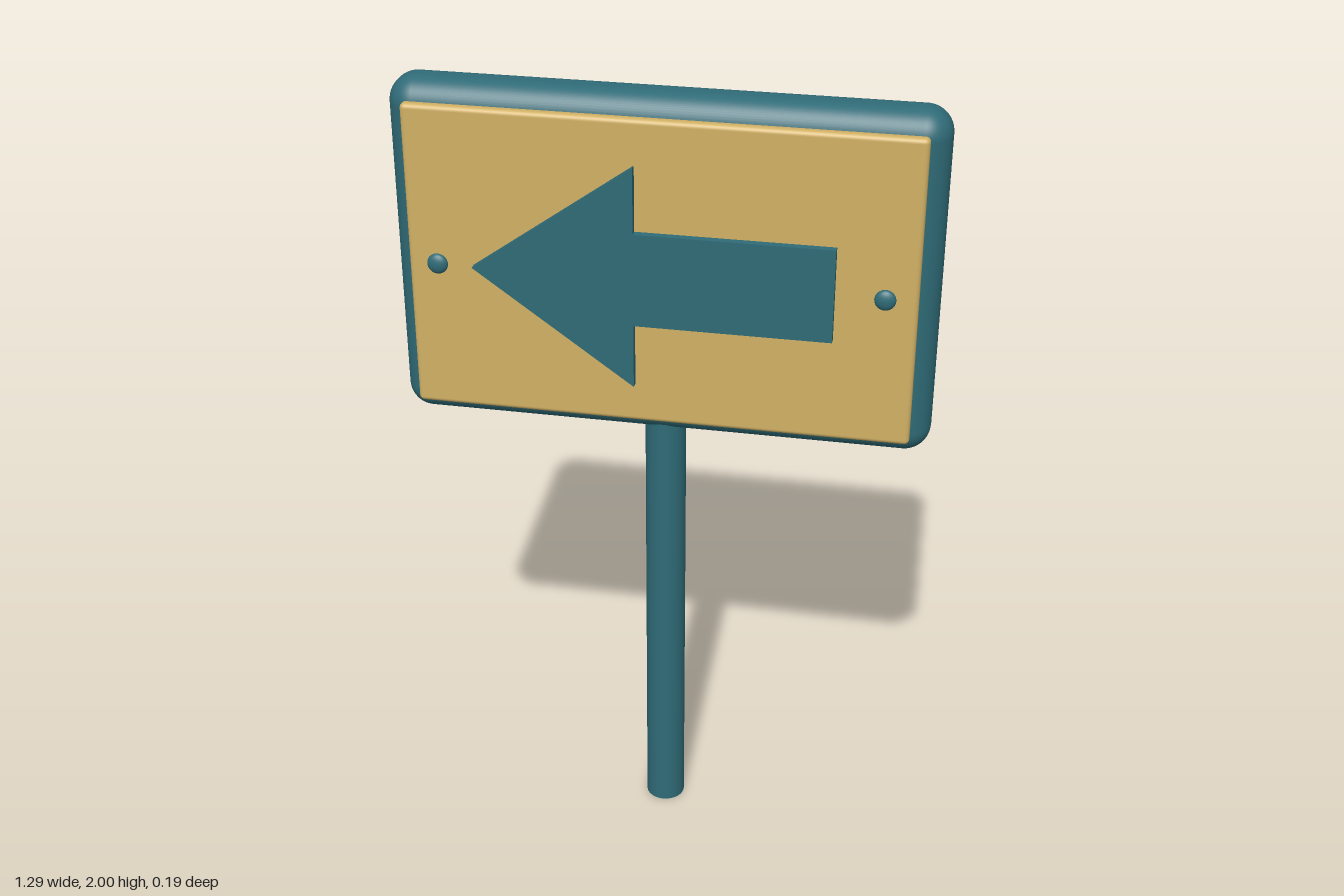
import * as THREE from 'three';
import { RoundedBoxGeometry } from 'three/addons/geometries/RoundedBoxGeometry.js';

export function createModel() {
  const group = new THREE.Group();
  const teal = new THREE.MeshStandardMaterial({ name: 'teal', color: 0x2f6b77 });
  const gold = new THREE.MeshStandardMaterial({ name: 'gold', color: 0xd0b065 });

  const add = (name, geometry, material, x, y, z) => {
    const mesh = new THREE.Mesh(geometry, material);
    mesh.name = name;
    mesh.position.set(x, y, z);
    group.add(mesh);
    return mesh;
  };

  // Post, its top hidden inside the board
  add('post', new THREE.CylinderGeometry(0.05, 0.05, 1.2, 32), teal, 0, 0.6, -0.025);

  // Thick rounded board with a thin face panel
  add('board', new RoundedBoxGeometry(1.29, 0.85, 0.14, 8, 0.063), teal, 0, 1.575, -0.026);
  add('facePanel', new RoundedBoxGeometry(1.2, 0.76, 0.03, 4, 0.012), gold, 0, 1.575, 0.051);

  // Arrow pointing to -x, held just in front of the panel
  const arrow = new THREE.Shape([
    [-0.44, 0], [-0.055, -0.275], [-0.055, -0.115], [0.41, -0.115],
    [0.41, 0.115], [-0.055, 0.115], [-0.055, 0.275],
  ].map(([x, y]) => new THREE.Vector2(x, y)));
  add('arrow', new THREE.ExtrudeGeometry(arrow, { depth: 0.019, bevelEnabled: false }),
    teal, 0, 1.575, 0.072);

  // Flattened screw heads on both sides
  for (const side of [-1, 1]) {
    const screw = add(side > 0 ? 'leftScrew' : 'rightScrew',
      new THREE.SphereGeometry(0.025, 24, 16), teal, side * 0.525, 1.575, 0.082);
    screw.scale.z = 0.52;
  }

  return group;
}
